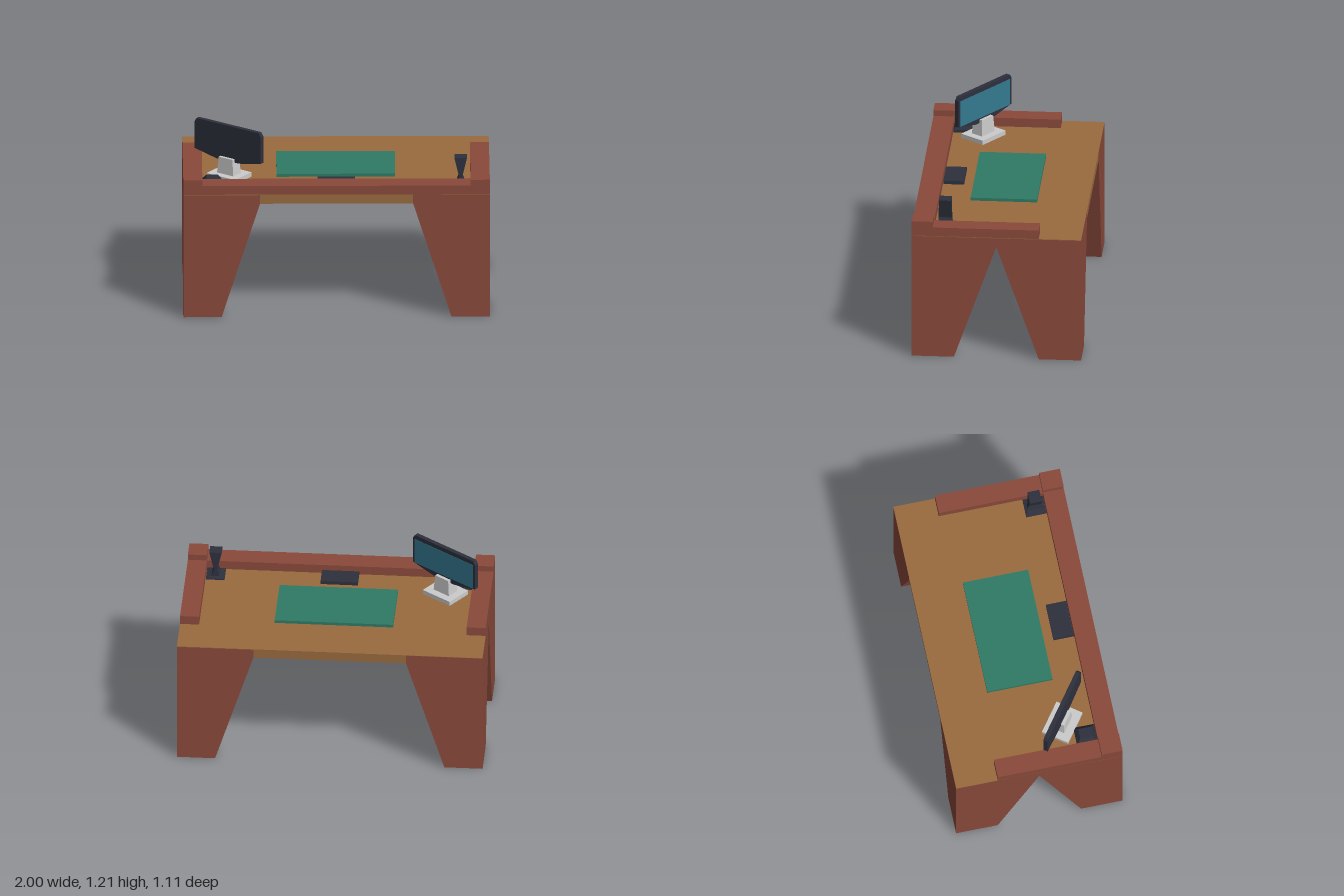
import * as THREE from 'three';

const mat = (color) => new THREE.MeshStandardMaterial({ color, flatShading: true });
const RED = mat(0x8b4a3c), WOOD = mat(0x9a6b3f), GREEN = mat(0x2f7a66);
const DARK = mat(0x2d313d), BLUE = mat(0x357990), GREY = mat(0xcccccc);

const HALF_DEPTH = 0.555, TOP = 0.85, RAIL_TOP = 0.91;

function add(parent, name, geometry, material) {
  const mesh = new THREE.Mesh(geometry, material);
  mesh.name = name;
  parent.add(mesh);
  return mesh;
}

// Box given by its extents
function box(parent, name, material, x0, x1, y0, y1, z0, z1) {
  const mesh = add(parent, name, new THREE.BoxGeometry(x1 - x0, y1 - y0, z1 - z0), material);
  mesh.position.set((x0 + x1) / 2, (y0 + y1) / 2, (z0 + z1) / 2);
  return mesh;
}

// Solid through horizontal outlines; levels = [{ y, points: [[x, z], ...] }, ...] from the bottom up
function loft(levels) {
  const rings = levels.map((l) => {
    const pts = l.points.map(([x, z]) => new THREE.Vector2(x, z));
    return THREE.ShapeUtils.area(pts) < 0 ? pts.reverse() : pts;
  });
  const n = rings[0].length, position = [], index = [];
  rings.forEach((ring, k) => ring.forEach((p) => position.push(p.x, levels[k].y, p.y)));
  for (let k = 0; k < rings.length - 1; k++) {
    for (let i = 0; i < n; i++) {
      const a = k * n + i, b = k * n + (i + 1) % n;
      index.push(a, a + n, b + n, a, b + n, b);
    }
  }
  const last = (rings.length - 1) * n;
  for (const [a, b, c] of THREE.ShapeUtils.triangulateShape(rings[0], [])) {
    index.push(a, b, c, last + a, last + c, last + b);
  }
  const indexed = new THREE.BufferGeometry();
  indexed.setAttribute('position', new THREE.Float32BufferAttribute(position, 3));
  indexed.setIndex(index);
  const geometry = indexed.toNonIndexed();
  geometry.computeVertexNormals();
  return geometry;
}

// Rectangular tapered column; rows = [y, width, depth]
const column = (rows) => loft(rows.map(([y, w, d]) => ({
  y, points: [[-w / 2, -d / 2], [w / 2, -d / 2], [w / 2, d / 2], [-w / 2, d / 2]],
})));

// L-section corner leg that shrinks to half size toward its outer corner
function leg(sx, sz) {
  const d = HALF_DEPTH;
  const outline = [[0, 0], [0.5, 0], [0.5, d / 2], [0.25, d / 2], [0.25, d], [0, d]];
  const level = (y, s) => ({
    y, points: outline.map(([x, z]) => [sx * (1 - x * s), sz * (d - z * s)]),
  });
  return loft([level(0, 0.5), level(0.785, 1), level(0.848, 1)]);
}

function createMonitor() {
  const monitor = new THREE.Group();
  monitor.name = 'monitor';
  box(monitor, 'monitorBase', GREY, -0.115, 0.115, TOP, 0.88, -0.093, 0.093);
  add(monitor, 'monitorNeck', column([[0.88, 0.13, 0.085], [0.99, 0.11, 0.075]]), GREY);
  // Casing with clipped upper corners and a tapered chin
  const half = [[0.09, 0.965], [0.265, 1.0], [0.265, 1.185], [0.25, 1.21]];
  const mirrored = half.map(([x, y]) => [-x, y]).reverse();
  const shape = new THREE.Shape([...half, ...mirrored].map(([x, y]) => new THREE.Vector2(x, y)));
  const casing = new THREE.ExtrudeGeometry(shape, { depth: 0.03, bevelEnabled: false });
  casing.translate(0, 0, -0.015);
  add(monitor, 'monitorCasing', casing, DARK);
  box(monitor, 'monitorScreen', BLUE, -0.25, 0.25, 1.0, 1.18, -0.017, -0.012);
  monitor.position.set(-0.7, 0, 0.215);
  monitor.rotation.y = -0.63;
  return monitor;
}

export function createModel() {
  const desk = new THREE.Group();
  desk.name = 'desk';

  // Worktop: thin full-size surface over a core set just inside the leg faces
  box(desk, 'worktopSurface', WOOD, -1, 1, 0.846, TOP, -HALF_DEPTH, HALF_DEPTH);
  box(desk, 'worktopCore', WOOD, -0.998, 0.998, 0.786, 0.847, -0.553, 0.553);

  // Legs, side rails and corner blocks
  for (const sx of [-1, 1]) {
    for (const sz of [-1, 1]) add(desk, sz > 0 ? 'frontLeg' : 'backLeg', leg(sx, sz), RED);
    const x0 = sx > 0 ? 0.875 : -1;
    box(desk, 'sideRail', RED, x0, x0 + 0.125, TOP, RAIL_TOP, -0.278, 0.416);
    box(desk, 'cornerBlock', RED, x0, x0 + 0.125, TOP, 0.95, 0.416, HALF_DEPTH);
  }
  box(desk, 'frontRail', RED, -0.875, 0.875, TOP, RAIL_TOP, 0.416, HALF_DEPTH);

  // Things on the worktop
  box(desk, 'deskMat', GREEN, -0.39, 0.385, TOP, 0.87, -0.22, 0.215);
  box(desk, 'deskTray', DARK, -0.122, 0.122, TOP, 0.873, 0.278, 0.414);
  desk.add(createMonitor());

  // Lamp with a flared head, and a low holder at the other corner
  const lamp = add(desk, 'flaredLamp', column([
    [TOP, 0.122, 0.136], [0.858, 0.122, 0.136], [0.866, 0.05, 0.095],
    [RAIL_TOP, 0.02, 0.088], [1.04, 0.082, 0.08],
  ]), DARK);
  lamp.position.set(0.811, 0, 0.347);
  const holder = add(desk, 'lowHolder', column([
    [TOP, 0.122, 0.136], [0.868, 0.122, 0.136], [0.9, 0.07, 0.085],
  ]), DARK);
  holder.position.set(-0.811, 0, 0.347);

  return desk;
}
